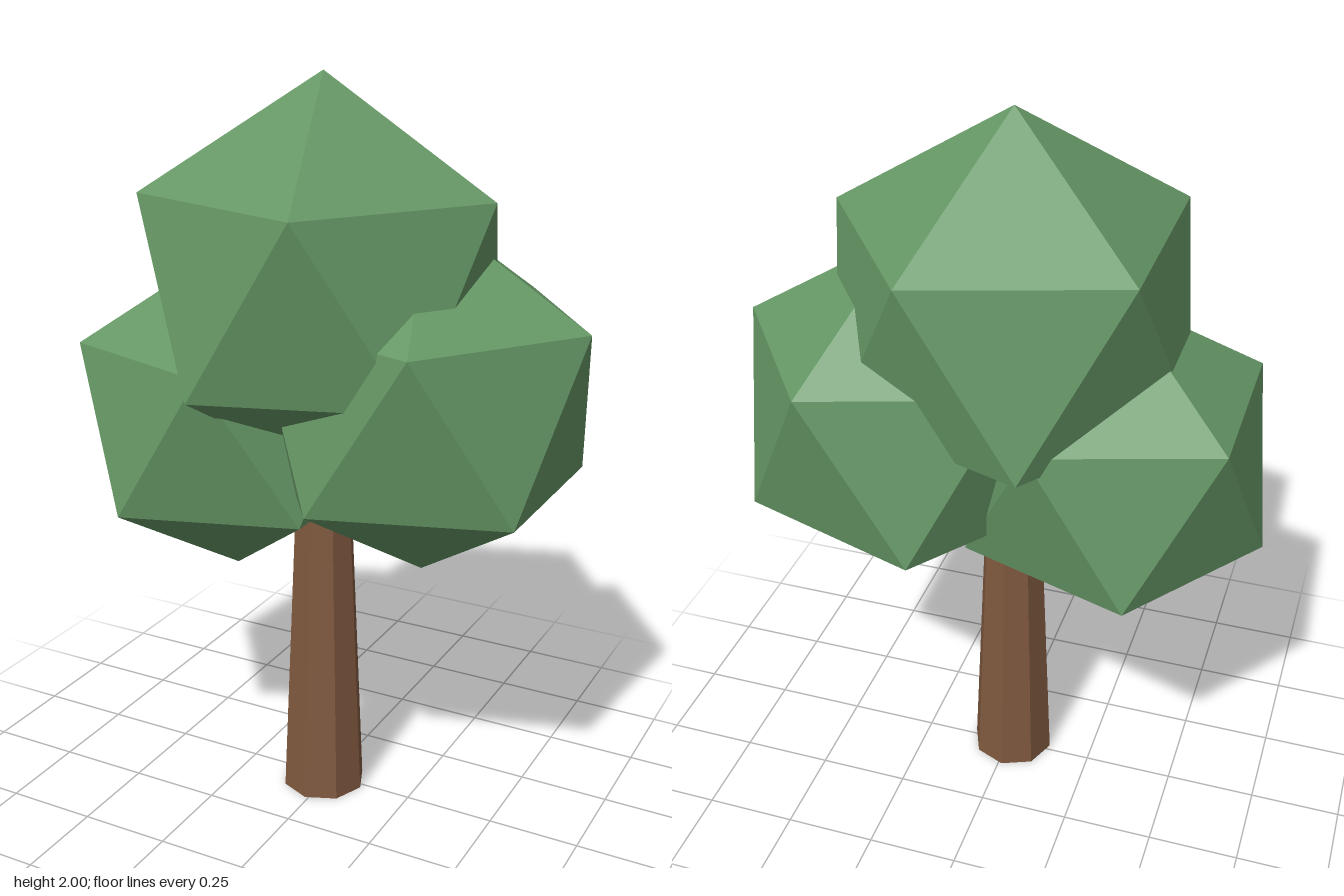
import * as THREE from 'three';

const leafMaterial = new THREE.MeshStandardMaterial({ color: 0x659665, flatShading: true });
const barkMaterial = new THREE.MeshStandardMaterial({ color: 0x80593f, flatShading: true });

// Leaf clump: icosahedron standing on a corner, one upper corner towards +x
function leafClump(name, radius, x, y, z) {
  const geometry = new THREE.IcosahedronGeometry(radius, 0);
  geometry.rotateZ(-Math.atan(2 / (1 + Math.sqrt(5))));
  const mesh = new THREE.Mesh(geometry, leafMaterial);
  mesh.name = name;
  mesh.position.set(x, y, z);
  return mesh;
}

export function createModel() {
  const tree = new THREE.Group();
  tree.name = 'tree';

  // Tapered eight-sided trunk, its top hidden in the foliage
  const height = 1.05;
  const trunk = new THREE.Mesh(new THREE.CylinderGeometry(0.071, 0.117, height, 8), barkMaterial);
  trunk.name = 'trunk';
  trunk.position.set(-0.01, height / 2, 0.017);
  tree.add(trunk);

  // Three overlapping leaf clumps
  tree.add(
    leafClump('topFoliage', 0.522, -0.01, 1.478, 0.016),
    leafClump('rightFoliage', 0.457, -0.285, 1.086, 0.016),
    leafClump('leftFoliage', 0.487, 0.253, 1.182, -0.049)
  );
  return tree;
}
